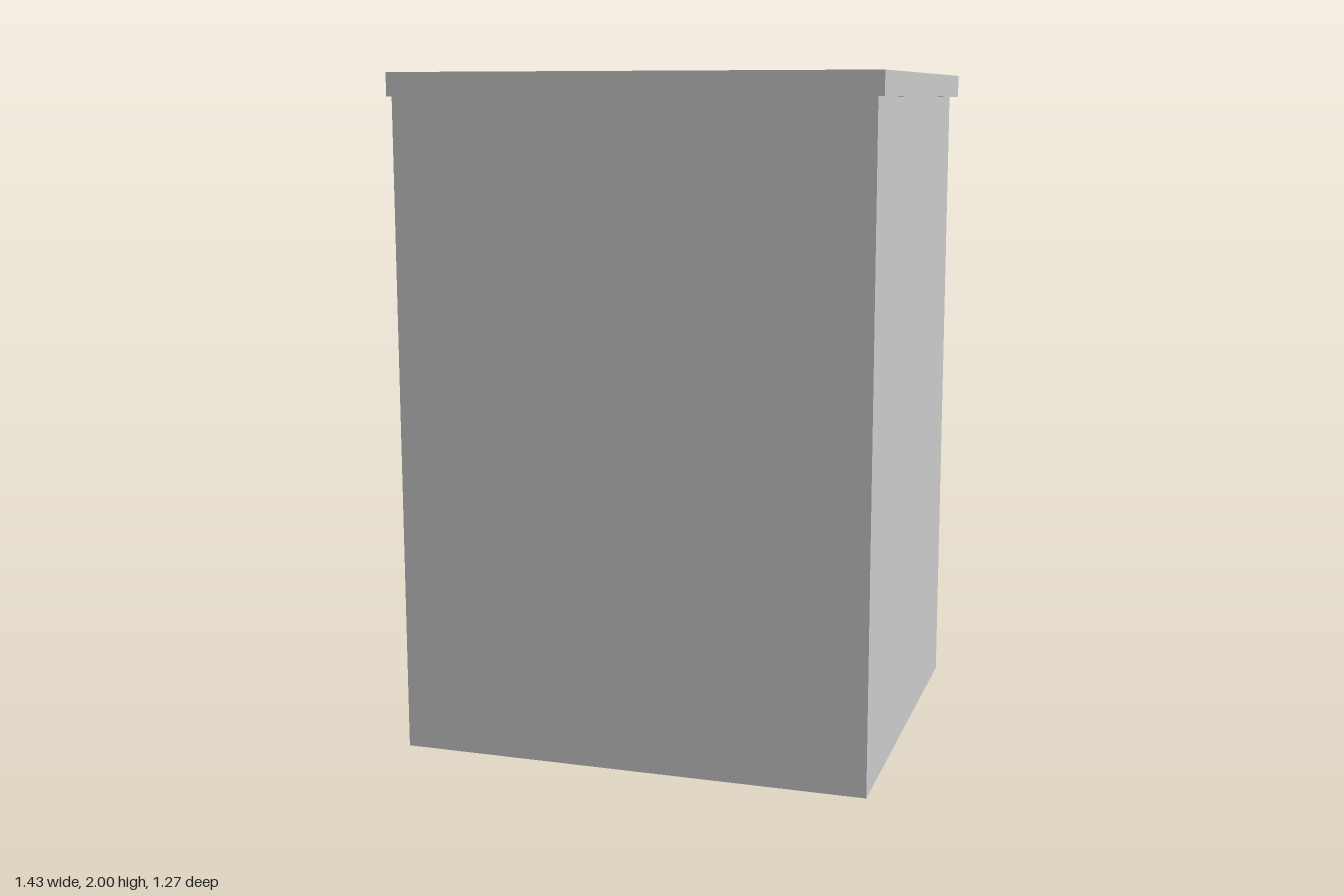
import * as THREE from 'three';

export function createModel() {
  const group = new THREE.Group();
  const material = new THREE.MeshStandardMaterial({ color: 0xcccccc, flatShading: true });

  // Box given by its lower and upper bounds on each axis
  const addBox = (name, [x0, x1], [y0, y1], [z0, z1]) => {
    const mesh = new THREE.Mesh(new THREE.BoxGeometry(x1 - x0, y1 - y0, z1 - z0), material);
    mesh.position.set((x0 + x1) / 2, (y0 + y1) / 2, (z0 + z1) / 2);
    mesh.name = name;
    group.add(mesh);
  };

  const halfWidth = 0.7, innerHalf = 0.642;       // outside and inside of the side panels
  const frontZ = 0.633, faceZ = -0.563, toeZ = -0.49;
  const topY = 1.932, toeY = 0.177;

  // Overhanging top board
  addBox('topBoard', [-0.717, 0.717], [topY, 2], [-0.633, frontZ]);

  // Side panels reaching the floor
  addBox('leftSidePanel', [innerHalf, halfWidth], [0, topY], [faceZ, frontZ]);
  addBox('rightSidePanel', [-halfWidth, -innerHalf], [0, topY], [faceZ, frontZ]);

  // Carcass between the panels, cut back at the bottom for the toe space
  const profile = new THREE.Shape([
    [-frontZ, 0], [-toeZ, 0], [-toeZ, toeY], [-faceZ, toeY], [-faceZ, topY], [-frontZ, topY],
  ].map(([z, y]) => new THREE.Vector2(z, y)));
  const carcass = new THREE.Mesh(
    new THREE.ExtrudeGeometry(profile, { depth: innerHalf * 2, bevelEnabled: false }), material);
  carcass.rotation.y = Math.PI / 2;               // profile x becomes -z, depth runs along x
  carcass.position.x = -innerHalf;
  carcass.name = 'carcass';
  group.add(carcass);

  // Two drawer fronts standing proud of the carcass
  [['lowerDrawerFront', toeY, 0.98], ['upperDrawerFront', 1.053, 1.838]].forEach(([name, y0, y1]) =>
    addBox(name, [-innerHalf, innerHalf], [y0, y1], [-0.633, faceZ]));

  return group;
}
